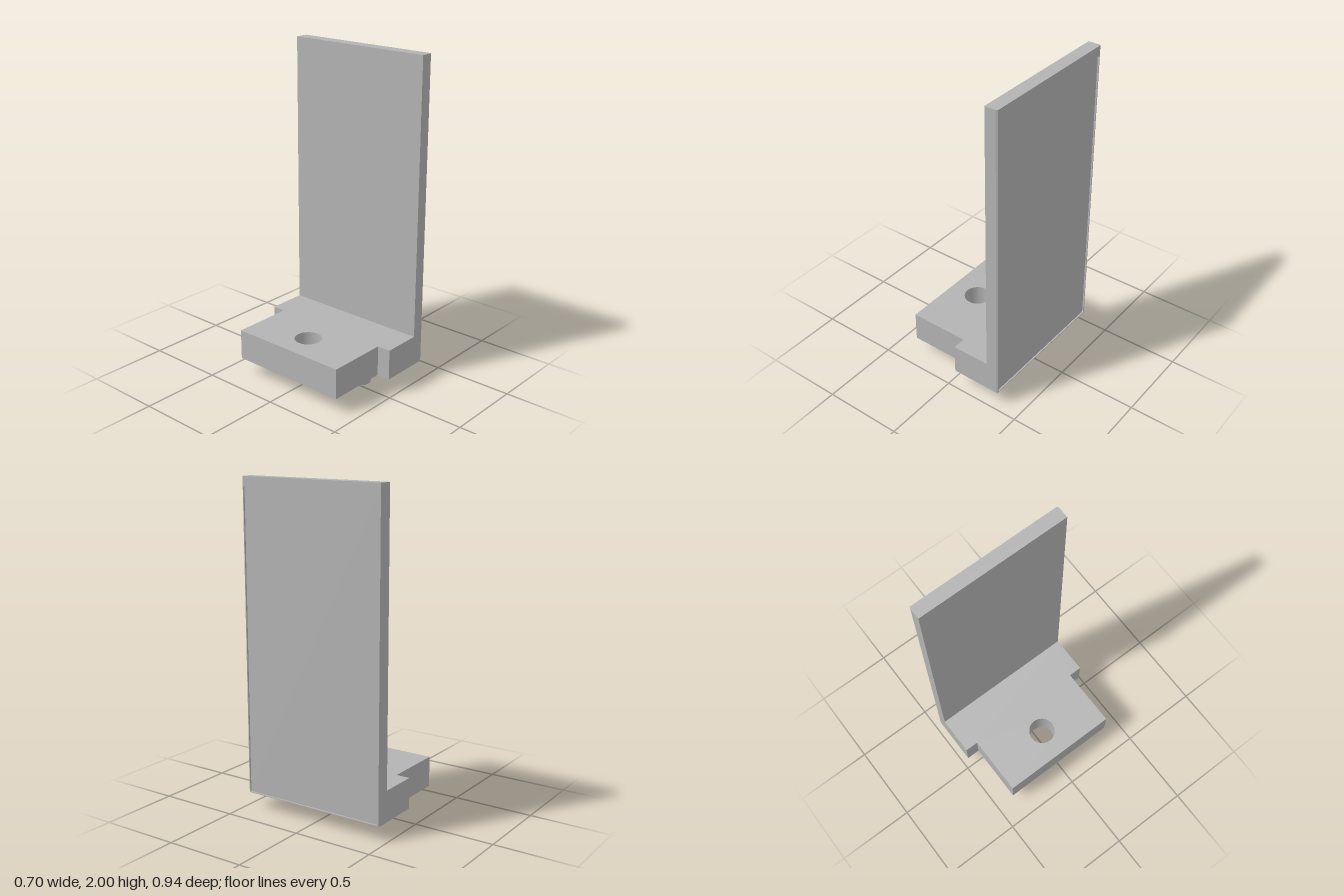
import * as THREE from 'three';
import { toCreasedNormals } from 'three/addons/utils/BufferGeometryUtils.js';

const BASE_Y = 0.1, BASE_TOP = 0.29, TOP = 2;
const BACK_X = -0.353, STEP_X = 0.03, WALL_X = 0.272, RECESS_X = 0.342, FACE_X = 0.352;
const HALF = 0.469, NARROW = 0.384;

function polygon(points) {
  return new THREE.Shape(points.map(([x, y]) => new THREE.Vector2(x, y)));
}

function roundedRectPath(x0, y0, x1, y1, r) {
  const p = new THREE.Path();
  p.absarc(x1 - r, y1 - r, r, 0, Math.PI / 2);
  p.absarc(x0 + r, y1 - r, r, Math.PI / 2, Math.PI);
  p.absarc(x0 + r, y0 + r, r, Math.PI, Math.PI * 1.5);
  p.absarc(x1 - r, y0 + r, r, Math.PI * 1.5, Math.PI * 2);
  p.closePath();
  return p;
}

function extrude(shape, depth, curveSegments) {
  return new THREE.ExtrudeGeometry(shape, { depth, bevelEnabled: false, curveSegments });
}

export function createModel() {
  const group = new THREE.Group();
  const grey = new THREE.MeshStandardMaterial({ color: 0xb3b3b3 });
  grey.name = 'plainGrey';
  const add = (name, geometry) => {
    const mesh = new THREE.Mesh(geometry, grey);
    mesh.name = name;
    group.add(mesh);
    return mesh;
  };

  // Stepped foot with a round through hole
  const plan = polygon([
    [BACK_X, -NARROW], [STEP_X, -NARROW], [STEP_X, -HALF], [WALL_X, -HALF],
    [WALL_X, HALF], [STEP_X, HALF], [STEP_X, NARROW], [BACK_X, NARROW],
  ]);
  plan.holes.push(new THREE.Path().absarc(-0.162, 0, 0.083, 0, Math.PI * 2, true));
  const foot = extrude(plan, BASE_TOP - BASE_Y, 48);
  foot.rotateX(-Math.PI / 2).translate(0, BASE_Y, 0);
  add('foot', toCreasedNormals(foot, 0.6));

  // Upright wall; its outer face is the floor of the recess
  const wall = new THREE.BoxGeometry(RECESS_X - WALL_X, TOP - BASE_Y, HALF * 2);
  wall.translate((WALL_X + RECESS_X) / 2, (TOP + BASE_Y) / 2, 0);
  add('wall', wall);

  // Thin rim around the recess, with chamfered upright edges
  const rim = polygon([[-HALF, BASE_Y], [HALF, BASE_Y], [HALF, TOP], [-HALF, TOP]]);
  rim.holes.push(roundedRectPath(-0.459, BASE_Y + 0.005, 0.459, 1.942, 0.01));
  const rimGeometry = extrude(rim, FACE_X - RECESS_X, 6);
  rimGeometry.rotateY(Math.PI / 2).translate(RECESS_X, 0, 0);
  const pos = rimGeometry.attributes.position;
  for (let i = 0; i < pos.count; i++) {
    const z = pos.getZ(i);
    if (pos.getX(i) > FACE_X - 0.001 && Math.abs(z) > HALF - 0.001) {
      pos.setZ(i, Math.sign(z) * (HALF - 0.005));
    }
  }
  rimGeometry.computeVertexNormals();
  add('recessRim', rimGeometry);

  // Two locating pegs under the foot
  for (const side of [-1, 1]) {
    const peg = add(side > 0 ? 'frontPeg' : 'backPeg', new THREE.CylinderGeometry(0.071, 0.071, BASE_Y + 0.01, 48));
    peg.position.set(0.051, (BASE_Y + 0.01) / 2, side * 0.225);
  }

  return group;
}
